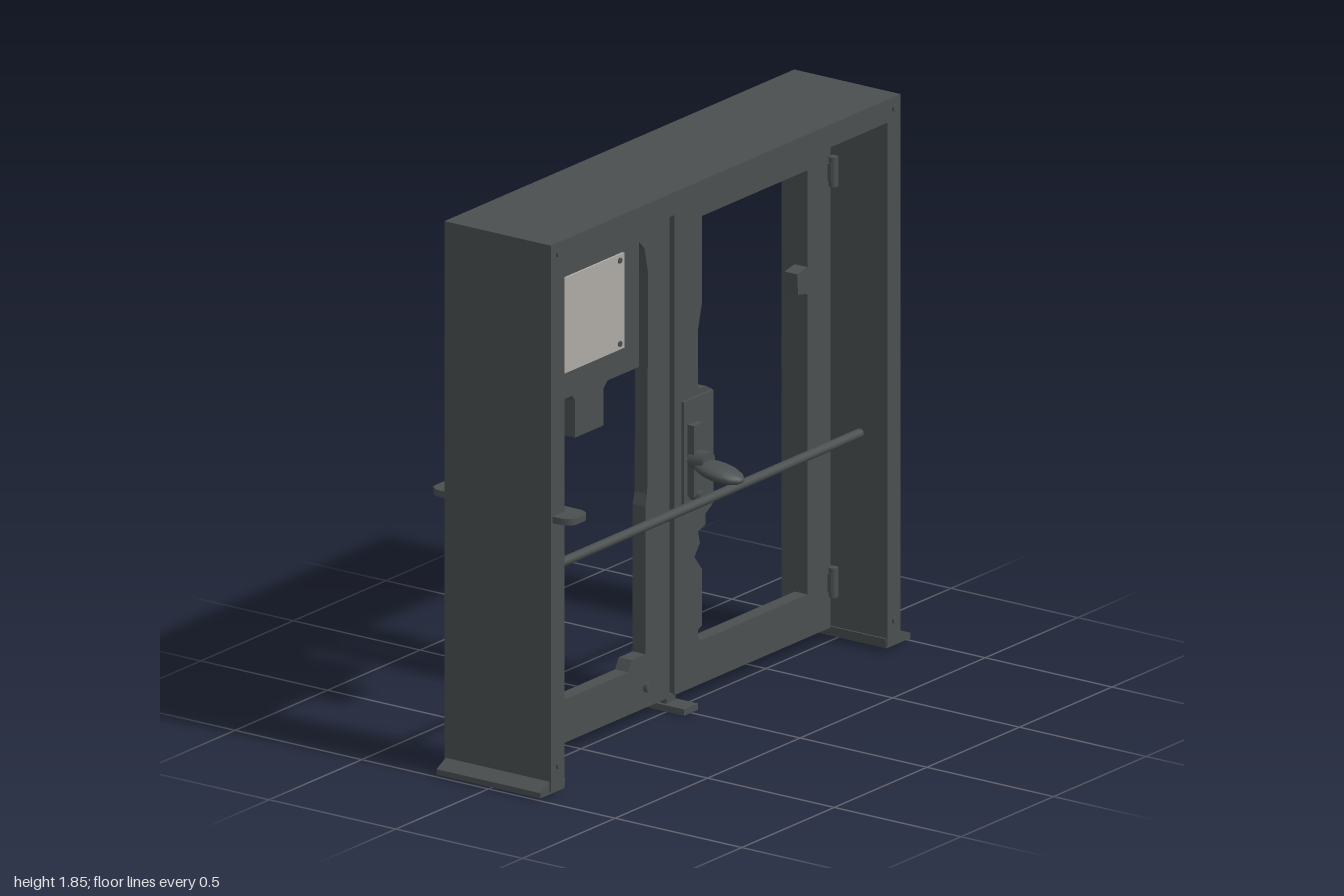
import * as THREE from 'three';

export function createModel() {
  const root = new THREE.Group();
  root.name = 'doubleDoor';
  const steel = new THREE.MeshStandardMaterial({ color: 0x4a4f4f });
  steel.name = 'dark steel';
  const plateMat = new THREE.MeshStandardMaterial({ color: 0xaeaaa5 });
  plateMat.name = 'pale plate';

  const add = (name, geo, x = 0, y = 0, z = 0, mat = steel) => {
    const m = new THREE.Mesh(geo, mat);
    m.name = name;
    m.position.set(x, y, z);
    root.add(m);
    return m;
  };
  // box given by its min and max on each axis
  const box = (name, x0, x1, y0, y1, z0, z1, mat) =>
    add(name, new THREE.BoxGeometry(x1 - x0, y1 - y0, z1 - z0),
      (x0 + x1) / 2, (y0 + y1) / 2, (z0 + z1) / 2, mat);
  const points = (list) => list.map(([x, y]) => new THREE.Vector2(x, y));
  // flat outline in xy pushed out from z0 to z1, with optional hole
  const slab = (name, outline, z0, z1, hole) => {
    const s = new THREE.Shape(points(outline));
    if (hole) s.holes.push(new THREE.Path(points(hole)));
    return add(name, new THREE.ExtrudeGeometry(s, { depth: z1 - z0, bevelEnabled: false }), 0, 0, z0);
  };
  const rod = (name, r, len, axis, x, y, z, sides = 10) => {
    const g = new THREE.CylinderGeometry(r, r, len, sides);
    if (axis === 'x') g.rotateZ(Math.PI / 2);
    if (axis === 'z') g.rotateX(Math.PI / 2);
    return add(name, g, x, y, z);
  };

  // deep surround: two posts and a lintel
  slab('frame', [[-0.95, 0.02], [-0.875, 0.02], [-0.875, 1.78], [0.87, 1.78],
    [0.87, 0.02], [0.94, 0.02], [0.94, 1.857], [-0.95, 1.857]], -0.21, 0.21);
  box('lintelStop', -0.875, 0, 1.745, 1.78, -0.2, -0.06);
  box('lintelSeal', -0.875, 0.87, 1.762, 1.782, -0.05, -0.01);
  box('jambStop', -0.88, -0.853, 0.05, 1.77, -0.05, -0.01);

  // flared feet under the posts
  for (const s of [-1, 1]) {
    slab('foot', s < 0
      ? [[-1, 0.012], [-0.87, 0.012], [-0.865, 0.045], [-0.95, 0.055], [-1, 0.03]]
      : [[0.865, 0.045], [0.87, 0.012], [1, 0.012], [1, 0.03], [0.94, 0.055]], -0.205, 0.205);
  }
  box('anchorBox', 0.93, 0.978, 0.04, 0.14, 0, 0.11);
  box('anchorClip', 0.93, 0.96, 0.03, 0.06, -0.14, 0);

  // door leaves with worn openings
  const dz0 = -0.055, dz1 = -0.005;
  slab('leftLeafPanelled', [[-0.86, 0.045], [-0.015, 0.045], [-0.015, 1.765], [-0.86, 1.765]], dz0, dz1,
    [[-0.73, 0.19], [-0.24, 0.19], [-0.22, 0.225], [-0.145, 0.225], [-0.145, 0.72], [-0.135, 0.76],
      [-0.13, 1.5], [-0.15, 1.59], [-0.18, 1.62], [-0.18, 1.2], [-0.35, 1.2], [-0.37, 1.18], [-0.37, 1.055],
      [-0.525, 1.055], [-0.525, 1.18], [-0.54, 1.2], [-0.72, 1.2], [-0.735, 1.18]]);
  slab('rightLeafGlazed', [[0.012, 0.045], [0.855, 0.045], [0.855, 1.765], [0.012, 1.765]], dz0, dz1,
    [[0.73, 0.19], [0.73, 1.2], [0.68, 1.21], [0.675, 1.28], [0.73, 1.29], [0.73, 1.615], [0.16, 1.615],
      [0.16, 1.32], [0.14, 1.24], [0.14, 1.04], [0.19, 1.035], [0.215, 1.02], [0.215, 0.63], [0.18, 0.61],
      [0.18, 0.575], [0.14, 0.56], [0.15, 0.52], [0.12, 0.48], [0.16, 0.43], [0.16, 0.24], [0.14, 0.23],
      [0.14, 0.2], [0.165, 0.19]]);

  // pale notice plates, front and back, with corner screws
  box('noticePlateFront', -0.71, -0.27, 1.29, 1.61, dz1, dz1 + 0.008, plateMat);
  box('noticePlateBack', -0.71, -0.27, 1.29, 1.61, dz0 - 0.008, dz0, plateMat);
  for (const x of [-0.69, -0.295])
    for (const y of [1.31, 1.59])
      rod('plateScrew', 0.01, 0.075, 'z', x, y, -0.03, 8);

  // lock case and lever handle
  box('lockCase', 0.05, 0.21, 0.64, 1.02, -0.075, 0.005);
  box('handlePlate', 0.07, 0.12, 0.7, 0.94, 0, 0.03);
  rod('handleBoss', 0.035, 0.06, 'z', 0.095, 0.82, 0.04, 12);
  const lever = add('lever', new THREE.SphereGeometry(1, 14, 10), 0.095, 0.795, 0.11);
  lever.scale.set(0.055, 0.028, 0.095);
  lever.rotation.x = 0.15;
  rod('keyCylinder', 0.018, 0.05, 'z', 0.095, 0.7, 0.025);

  // crash bar across both leaves
  rod('pushBar', 0.016, 1.75, 'x', 0, 0.715, 0.1);

  // long bracket passing along the right-hand post, rounded at both ends
  const r = 0.05, bracket = new THREE.Shape();
  bracket.moveTo(-0.055, -0.235);
  bracket.quadraticCurveTo(-0.05, -0.28, -0.015, -0.28);
  bracket.lineTo(0.015, -0.28);
  bracket.quadraticCurveTo(r, -0.28, 0.055, -0.235);
  bracket.lineTo(0.055, 0.235);
  bracket.quadraticCurveTo(r, 0.28, 0.015, 0.28);
  bracket.lineTo(-0.015, 0.28);
  bracket.quadraticCurveTo(-r, 0.28, -0.055, 0.235);
  const bg = new THREE.ExtrudeGeometry(bracket, { depth: 0.022, bevelEnabled: false });
  bg.rotateX(-Math.PI / 2);
  add('postBracket', bg, -0.885, 0.922, 0);

  // hinges
  for (const x of [-0.85, 0.857])
    for (const y of [0.2, 1.58]) {
      rod('hingePin', 0.016, 0.1, 'y', x, y, 0.005, 8);
      box('hingeLeaf', x - 0.018, x + 0.02, y - 0.03, y + 0.03, -0.06, 0.01);
    }

  // floor stop below the meeting edges, and a small bolt
  box('floorStop', -0.038, 0.038, 0.004, 0.025, -0.13, 0.07);
  box('floorStopNeck', -0.025, 0.025, 0.02, 0.05, -0.05, -0.01);
  rod('boltHead', 0.018, 0.02, 'z', -0.14, 0.115, 0, 10);

  // frame fixings at front and back edges
  for (const x of [-0.91, 0.905])
    for (const y of [0.1, 1.82])
      for (const z of [-0.21, 0.21]) rod('frameBolt', 0.012, 0.014, 'z', x, y, z, 8);

  return root;
}
